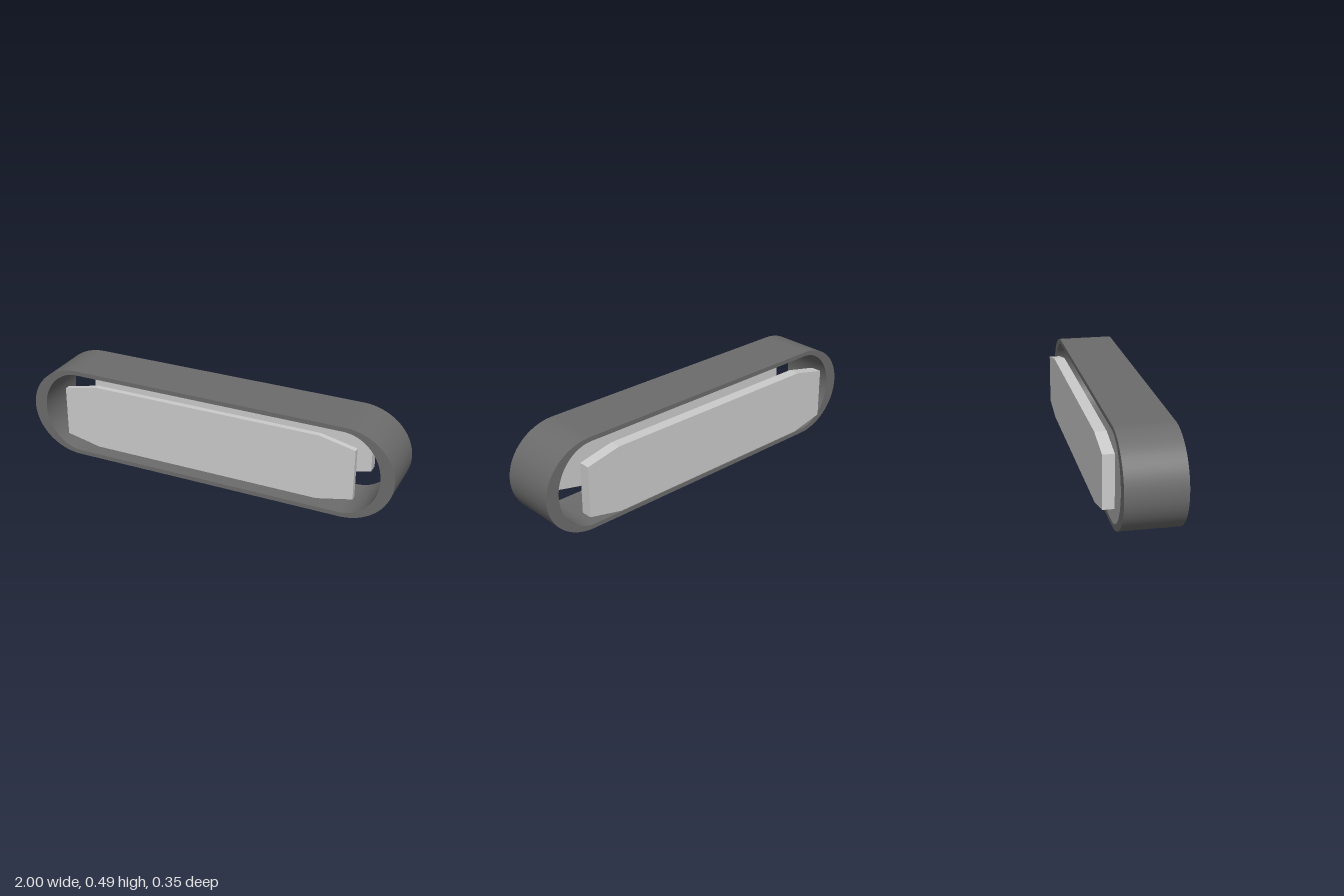
import * as THREE from 'three';
import { toCreasedNormals } from 'three/addons/utils/BufferGeometryUtils.js';

const MID_Y = 0.245;

// Long loop outline: straight top and bottom runs closed by half ellipses
function loopOutline(target, cx, rx, ry) {
  target.absellipse(cx, MID_Y, rx, ry, -Math.PI / 2, Math.PI / 2, false);
  target.absellipse(-cx, MID_Y, rx, ry, Math.PI / 2, Math.PI * 1.5, false);
  target.closePath();
  return target;
}

function extrude(shape, zBack, zFront) {
  const geometry = new THREE.ExtrudeGeometry(shape, {
    depth: zFront - zBack, bevelEnabled: false, curveSegments: 32,
  });
  geometry.translate(0, 0, zBack);
  return toCreasedNormals(geometry, 0.5);
}

export function createModel() {
  const group = new THREE.Group();
  const beltMaterial = new THREE.MeshStandardMaterial({ color: 0x6c6c6c });
  const plateMaterial = new THREE.MeshStandardMaterial({ color: 0xcccccc });

  // Belt: thin along the runs, thicker around the ends
  const beltShape = loopOutline(new THREE.Shape(), 0.735, 0.265, 0.245);
  beltShape.holes.push(loopOutline(new THREE.Path(), 0.73, 0.2, 0.222));
  const belt = new THREE.Mesh(extrude(beltShape, -0.117, 0.175), beltMaterial);
  belt.name = 'trackBelt';
  group.add(belt);

  // Side plates with tapered ends
  const plateShape = new THREE.Shape([
    [-0.8, 0.113], [-0.615, 0.072], [0.615, 0.072], [0.8, 0.113],
    [0.8, 0.379], [0.615, 0.42], [-0.615, 0.42], [-0.8, 0.379],
  ].map(([x, y]) => new THREE.Vector2(x, y)));

  for (const [name, zBack, zFront] of [
    ['frontPlate', 0.146, 0.175],
    ['backPlate', -0.175, -0.117],
  ]) {
    const geometry = new THREE.ExtrudeGeometry(plateShape, { depth: zFront - zBack, bevelEnabled: false });
    geometry.translate(0, 0, zBack);
    const plate = new THREE.Mesh(geometry, plateMaterial);
    plate.name = name;
    group.add(plate);
  }
  return group;
}
